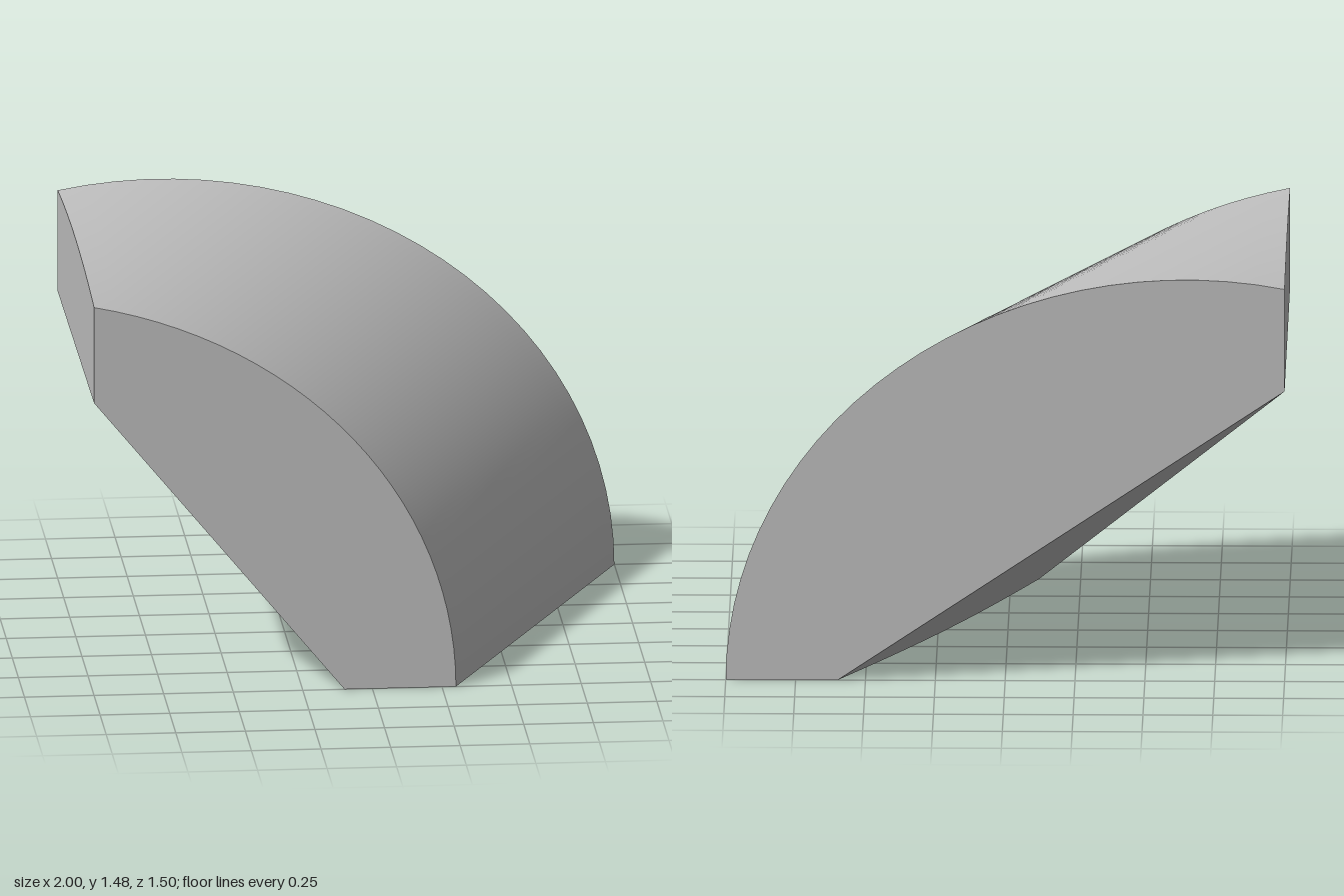
import * as THREE from 'three';

const V = (x, y, z) => new THREE.Vector3(x, y, z);
const mix = (a, b, s) => a.clone().lerp(b, s);

// Section rules; s runs from the back (0) to the front (1)
const zAt = (s) => -0.75 + 1.5 * s;
const shift = (s) => -0.7 * s;
// Elliptical crown, a from the ground (0) to the cut at x = -1 (1)
const crown = (a, s) => {
  const cx = -0.65 + shift(s);
  const t = a * Math.acos((-1 - cx) / 1.65);
  return V(cx + 1.65 * Math.cos(t), 1.48 * Math.sin(t), zAt(s));
};
// Inner edge on the ground, bowed very slightly
const foot = (s) => V(0.6 + shift(s) - 0.03 * Math.sin(Math.PI * s), 0, zAt(s));
// Lower edge of the cut side
const lower = (s) => V(-1, 1.07 + 0.02 * s, zAt(s));

// Grid surface whose front faces along dP/du x dP/dv
function surface(f, nu, nv) {
  const pos = [], idx = [];
  for (let i = 0; i <= nu; i++)
    for (let j = 0; j <= nv; j++) pos.push(...f(i / nu, j / nv).toArray());
  for (let i = 0; i < nu; i++)
    for (let j = 0; j < nv; j++) {
      const a = i * (nv + 1) + j, b = a + nv + 1;
      idx.push(a, b, b + 1, a, b + 1, a + 1);
    }
  const g = new THREE.BufferGeometry();
  g.setAttribute('position', new THREE.Float32BufferAttribute(pos, 3));
  g.setIndex(idx);
  g.computeVertexNormals();
  return g;
}

export function createModel() {
  const group = new THREE.Group();
  group.name = 'slantedArchBlock';
  const grey = new THREE.MeshStandardMaterial({ color: 0xc0c0c0 });
  grey.name = 'light grey';
  const add = (name, f, nu, nv) => {
    const m = new THREE.Mesh(surface(f, nu, nv), grey);
    m.name = name;
    group.add(m);
  };

  // Curved outer shell
  add('curvedShell', (u, v) => crown(u, v), 28, 16);
  // Flat ends
  add('frontEnd', (u, v) => mix(mix(foot(1), lower(1), v), crown(v, 1), u), 1, 28);
  add('backEnd', (u, v) => mix(crown(v, 0), mix(foot(0), lower(0), v), u), 1, 28);
  // Upright cut side
  add('cutSide', (u, v) => mix(lower(u), crown(1, u), v), 16, 1);
  // Ground face
  add('base', (u, v) => mix(foot(v), crown(0, v), u), 1, 16);
  // Two folded underside faces meeting on a diagonal
  add('undersideBack', (u, v) => mix(lower(0), foot(v), u), 1, 16);
  add('undersideFront', (u, v) => mix(lower(v), foot(1), u), 1, 1);

  return group;
}
